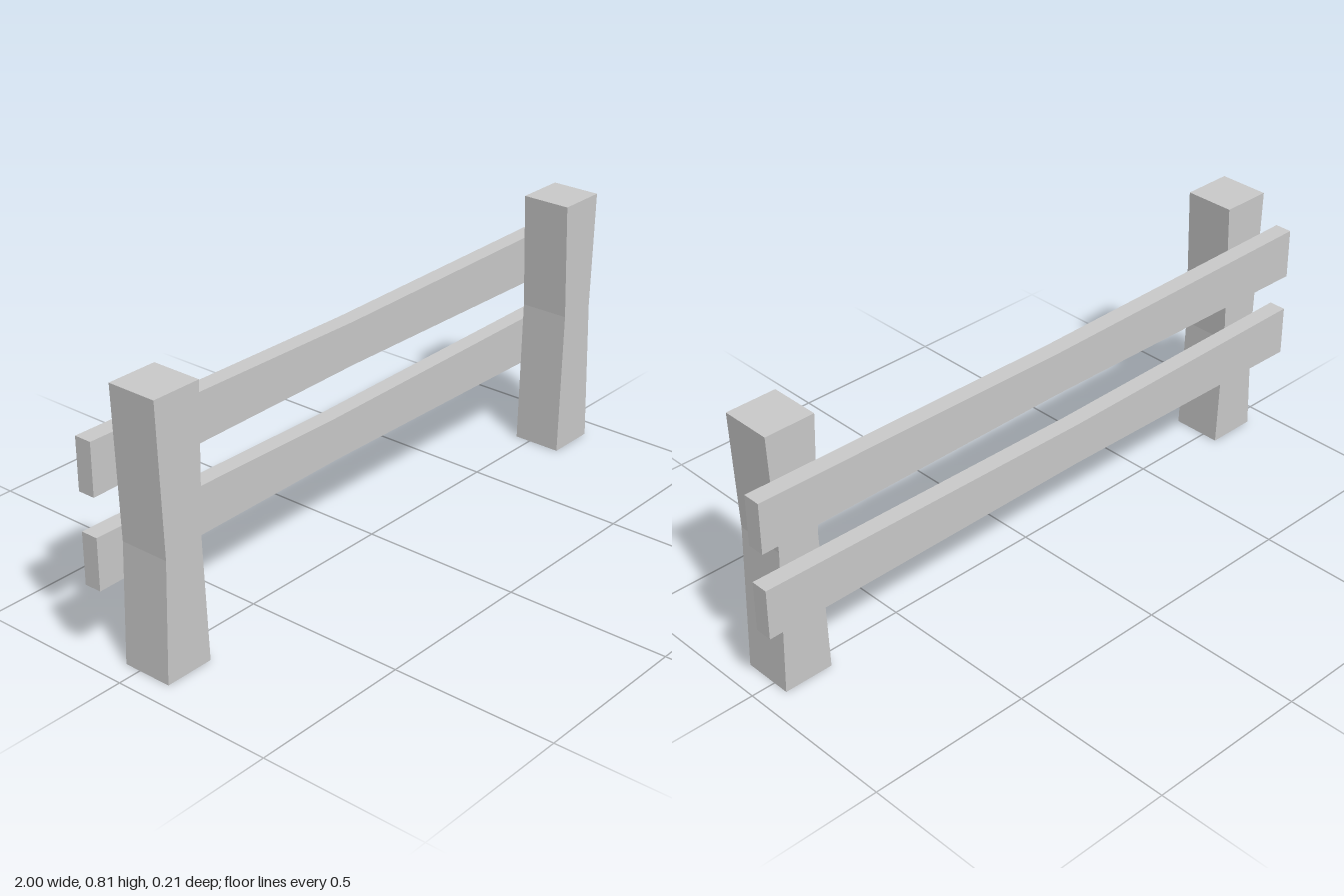
import * as THREE from 'three';

// A beam along y whose sides pinch in at one height; centred on x and z.
function waistedBeam(length, width, depth, waistWidth, waistAt) {
  const w = width / 2, m = waistWidth / 2;
  const shape = new THREE.Shape([
    [-w, 0], [w, 0], [m, waistAt], [w, length], [-w, length], [-m, waistAt],
  ].map(([x, y]) => new THREE.Vector2(x, y)));
  return new THREE.ExtrudeGeometry(shape, { depth, bevelEnabled: false })
    .translate(0, 0, -depth / 2);
}

export function createModel() {
  const group = new THREE.Group();
  const material = new THREE.MeshStandardMaterial({ color: 0xcccccc, flatShading: true });
  const add = (name, geometry, x, y, z) => {
    const mesh = new THREE.Mesh(geometry, material);
    mesh.name = name;
    mesh.position.set(x, y, z);
    group.add(mesh);
  };

  // Posts: slightly waisted at different heights
  for (const [name, x, waistAt] of [['rightPost', -0.851, 0.36], ['leftPost', 0.849, 0.45]]) {
    add(name, waistedBeam(0.807, 0.154, 0.154, 0.126, waistAt), x, 0, 0.027);
  }

  // Rails: the same beam laid on its side behind the posts
  for (const [name, y, waistX] of [['lowerRail', 0.329, -0.1], ['upperRail', 0.597, -0.02]]) {
    const rail = waistedBeam(2, 0.154, 0.053, 0.131, 1 - waistX).rotateZ(Math.PI / 2);
    add(name, rail, 1, y, -0.0765);
  }
  return group;
}
